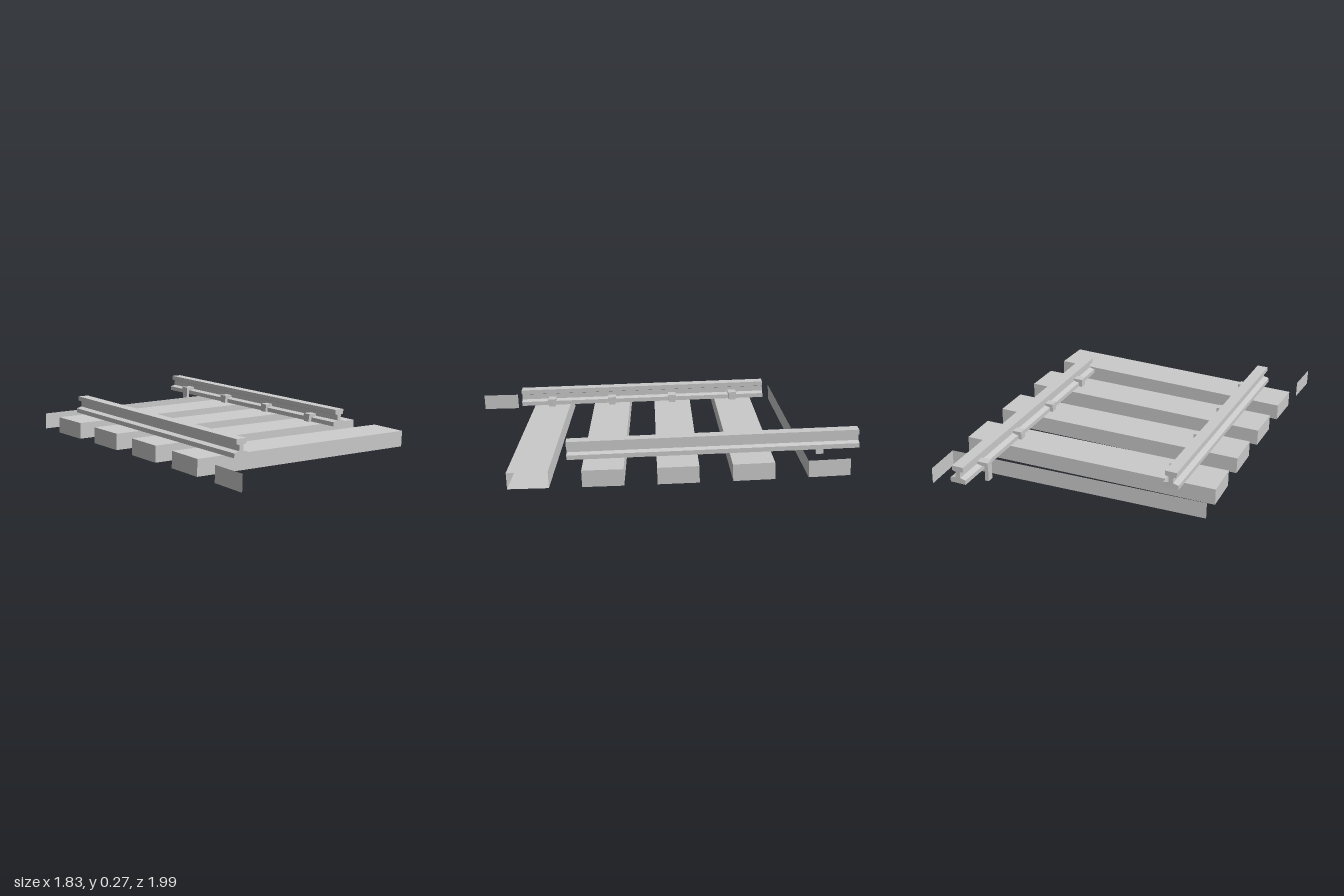
import * as THREE from 'three';

const material = new THREE.MeshStandardMaterial({ color: 0xcccccc, flatShading: true, side: THREE.DoubleSide });

function addMesh(parent, name, geometry, x = 0, y = 0, z = 0) {
  const mesh = new THREE.Mesh(geometry, material);
  mesh.name = name;
  mesh.position.set(x, y, z);
  parent.add(mesh);
  return mesh;
}

// Box keeping only some sides (0 +x, 1 -x, 2 +y, 3 -y, 4 +z, 5 -z)
function partialBox(w, h, d, sides) {
  const geometry = new THREE.BoxGeometry(w, h, d);
  const all = Array.from(geometry.index.array);
  geometry.setIndex(sides.flatMap((s) => all.slice(s * 6, s * 6 + 6)));
  geometry.clearGroups();
  return geometry;
}

const SLEEPER = { width: 0.212, height: 0.088, length: 1.405 };

// I-shaped rail section: wide foot, thin web, narrower head
function railShape() {
  const half = [[0.043, 0], [0.043, 0.024], [0.013, 0.032], [0.013, 0.062], [0.031, 0.068], [0.031, 0.093]];
  const mirrored = half.map(([x, y]) => [-x, y]).reverse();
  return new THREE.Shape([...half, ...mirrored].map(([x, y]) => new THREE.Vector2(x, y)));
}

// Straight rail between two points of the track bed
function addRail(parent, name, [u0, v0], [u1, v1]) {
  const length = Math.hypot(u1 - u0, v1 - v0);
  const geometry = new THREE.ExtrudeGeometry(railShape(), { depth: length, bevelEnabled: false });
  geometry.rotateY(Math.PI / 2);
  const rail = addMesh(parent, name, geometry, u0, SLEEPER.height, v0);
  rail.rotation.y = -Math.atan2(v1 - v0, u1 - u0);
}

// Rail clip: a plate over the foot with a post sunk into the sleeper
function addClip(parent, side) {
  const clip = new THREE.Group();
  clip.name = 'railClip';
  addMesh(clip, 'clipPlate', new THREE.BoxGeometry(0.046, 0.02, 0.06), 0, 0.123, side * 0.455);
  addMesh(clip, 'clipPost', new THREE.BoxGeometry(0.04, 0.085, 0.02), 0, 0.071, side * 0.435);
  parent.add(clip);
}

export function createModel() {
  const model = new THREE.Group();
  model.name = 'railTrack';

  // The bed is turned and slopes gently down along the rails
  const bed = new THREE.Group();
  bed.name = 'trackBed';
  bed.position.y = 0.0425;
  bed.rotation.set(0, THREE.MathUtils.degToRad(-18.6), -0.042, 'YXZ');
  model.add(bed);

  // Sleepers fan along a slight curve; the outermost are only fragments
  const whole = [0, 1, 2, 3, 4, 5];
  const sides = [[0, 5], whole, whole, whole, [0, 1, 2, 3, 4], [4]];
  sides.forEach((kept, i) => {
    const u = -0.501 + 0.367 * (i - 1);
    const group = new THREE.Group();
    group.name = 'sleeperWithClips';
    group.position.set(u, 0, -0.033 + 0.026 * u * u);
    group.rotation.y = -0.05 * u;
    bed.add(group);
    const { width, height, length } = SLEEPER;
    addMesh(group, 'sleeper', partialBox(width, height, length, kept), 0, height / 2, 0);
    if (i <= 3) addClip(group, -1);
    if (i >= 1 && i <= 4) addClip(group, 1);
  });

  addRail(bed, 'backRail', [-1.076, -0.509], [0.433, -0.523]);
  addRail(bed, 'frontRail', [-0.673, 0.469], [0.771, 0.482]);
  return model;
}
